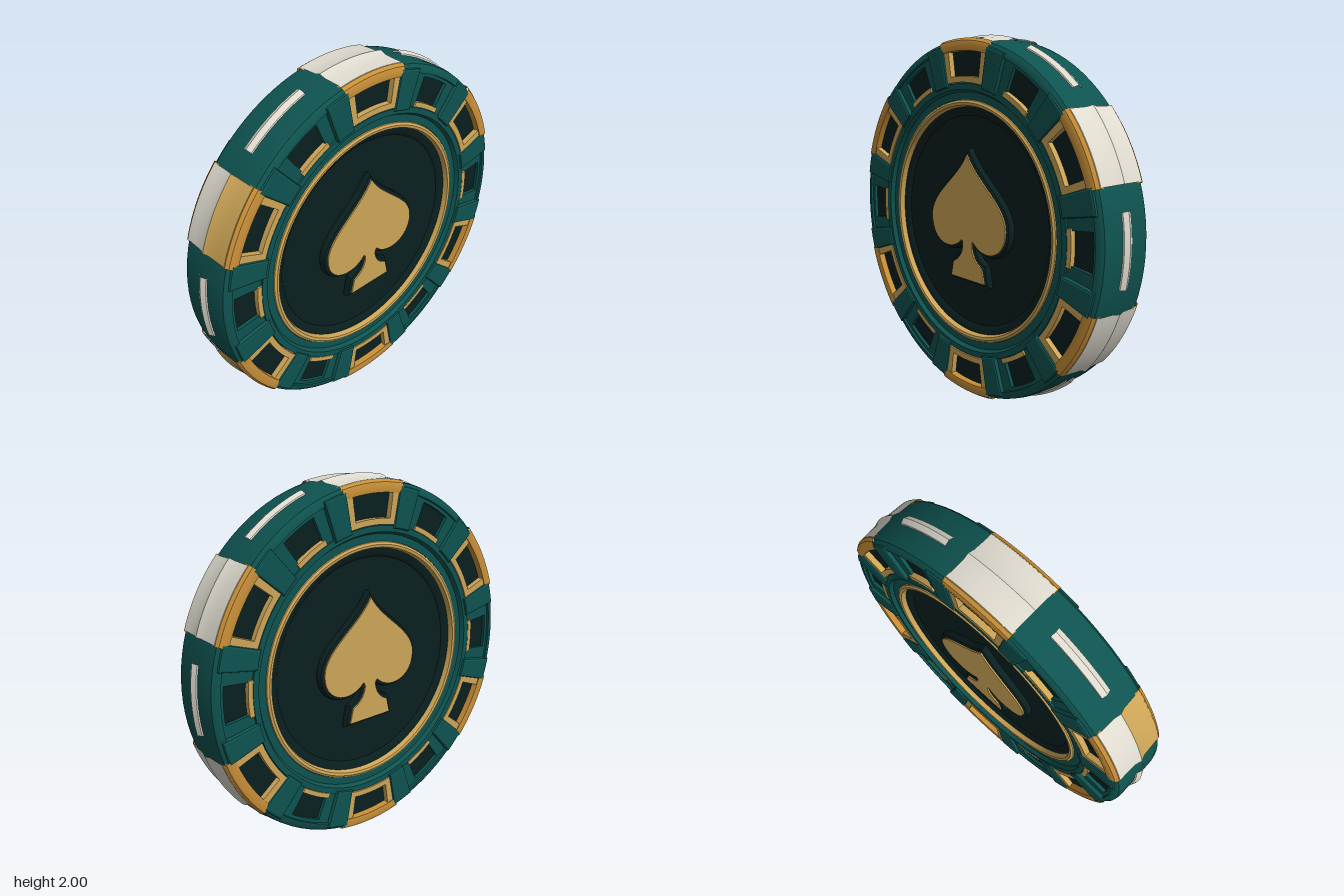
import * as THREE from 'three';
import { toCreasedNormals } from 'three/addons/utils/BufferGeometryUtils.js';

const RAD = Math.PI / 180;

function material(name, color, side = THREE.FrontSide) {
  const m = new THREE.MeshStandardMaterial({ color, side });
  m.name = name;
  return m;
}

const teal = material('teal', 0x0e5350);
const dark = material('dark green', 0x0a1f1f);
const gold = material('gold', 0xcda557);
const amber = material('amber gold', 0xc88f38, THREE.DoubleSide);
const ivory = material('ivory', 0xe0dcd0, THREE.DoubleSide);

function part(name, geometry, mat, angle = 0, z = 0) {
  const mesh = new THREE.Mesh(geometry, mat);
  mesh.name = name;
  mesh.rotation.z = angle * RAD;
  mesh.position.z = z;
  return mesh;
}

// Turns a profile of [radius, z] around the z axis, centred on angle 0 when partial
function turned(profile, half = 180, segments = 96) {
  const pts = profile.map(([r, z]) => new THREE.Vector2(r, z));
  const g = new THREE.LatheGeometry(pts, segments, (90 - half) * RAD, 2 * half * RAD);
  g.rotateX(Math.PI / 2);
  return toCreasedNormals(g, 35 * RAD);
}

// Outline of a ring sector centred on angle 0
function outline(target, r0, r1, half) {
  const a = half * RAD;
  target.absarc(0, 0, r1, -a, a, false);
  target.absarc(0, 0, r0, a, -a, true);
  target.closePath();
  return target;
}

// Raised ring sector, optionally with a window [r0, r1, half]
function sector(r0, r1, half, depth, hole, bevel = 0) {
  const shape = outline(new THREE.Shape(), r0, r1, half);
  if (hole) shape.holes.push(outline(new THREE.Path(), ...hole));
  return new THREE.ExtrudeGeometry(shape, {
    depth: depth - bevel, curveSegments: 10, bevelEnabled: bevel > 0,
    bevelThickness: bevel, bevelSize: bevel, bevelOffset: -bevel, bevelSegments: 2,
  });
}

function spadeShape() {
  const s = new THREE.Shape();
  s.moveTo(0, 0.375);
  s.bezierCurveTo(0.08, 0.23, 0.31, 0.14, 0.31, 0.0);
  s.bezierCurveTo(0.31, -0.16, 0.13, -0.19, 0.05, -0.1);
  s.bezierCurveTo(0.025, -0.1, 0.03, -0.2, 0.12, -0.235);
  s.lineTo(0.14, -0.32);
  s.lineTo(-0.14, -0.32);
  s.lineTo(-0.12, -0.235);
  s.bezierCurveTo(-0.03, -0.2, -0.025, -0.1, -0.05, -0.1);
  s.bezierCurveTo(-0.13, -0.19, -0.31, -0.16, -0.31, 0.0);
  s.bezierCurveTo(-0.31, 0.14, -0.08, 0.23, 0, 0.375);
  return s;
}

// Everything on one flat side of the chip
function createFace() {
  const face = new THREE.Group();
  face.name = 'face';

  // Sunken centre and its ring
  face.add(part('centreDish', turned([[0.63, 0.125], [0.595, 0.122], [0.58, 0.11], [0, 0.11]]), dark));
  face.add(part('centreRing', turned([[0.668, 0.12], [0.662, 0.148], [0.65, 0.155], [0.635, 0.152], [0.622, 0.11]]), gold));

  // Spade on a dark plinth
  const plinth = new THREE.ExtrudeGeometry(spadeShape(), {
    depth: 0.03, curveSegments: 16, bevelThickness: 0.02, bevelSize: 0.022, bevelSegments: 2,
  });
  face.add(part('spadePlinth', plinth, dark, 0, 0.098));
  const top = new THREE.ExtrudeGeometry(spadeShape(), { depth: 0.009, curveSegments: 16, bevelEnabled: false });
  face.add(part('spade', top, gold, 0, 0.147));

  // Shared geometry of the panels round the edge
  const divider = sector(0.735, 0.955, 4.2, 0.06, null, 0.012);
  const frame = sector(0.755, 0.93, 11.3, 0.04, [0.787, 0.918, 8.3]);
  const frameWindow = sector(0.78, 0.925, 8.8, 0.008);
  const strip = turned([[0.979, 0.12], [0.982, 0.15], [0.97, 0.168], [0.945, 0.176], [0.918, 0.172], [0.915, 0.13]], 12, 12);
  const panel = sector(0.75, 0.935, 11.2, 0.03, [0.765, 0.91, 6.4]);
  const panelWindow = sector(0.77, 0.915, 6.6, 0.008);
  const bar = sector(0.752, 0.778, 7.2, 0.04);

  for (let i = 0; i < 6; i++) {
    const a = 30 + i * 60;
    face.add(part('goldFrame', frame, gold, a, 0.127));
    face.add(part('frameWindow', frameWindow, dark, a, 0.128));
    face.add(part('edgeStrip', strip, amber, a));
    const b = i * 60;
    face.add(part('tealPanel', panel, teal, b, 0.125));
    face.add(part('panelWindow', panelWindow, dark, b, 0.128));
    face.add(part('panelBar', bar, gold, b, 0.125));
    face.add(part('divider', divider, teal, b + 15, 0.118));
    face.add(part('divider', divider, teal, b - 15, 0.118));
  }
  return face;
}

export function createModel() {
  const chip = new THREE.Group();
  chip.name = 'pokerChip';

  // Teal body, the same on both sides
  const half = [
    [0.978, 0.12], [0.972, 0.15], [0.955, 0.165], [0.93, 0.168], [0.925, 0.13],
    [0.755, 0.13], [0.75, 0.165], [0.718, 0.165], [0.705, 0.143], [0.665, 0.143], [0.66, 0.1],
  ];
  const back = half.map(([r, z]) => [r, -z]).reverse();
  chip.add(part('body', turned([...back, ...half]), teal));

  // Two faces
  const front = createFace();
  const rear = createFace();
  front.name = 'frontFace';
  rear.name = 'backFace';
  rear.rotation.y = Math.PI;
  chip.add(front, rear);

  // Ridged inserts and dashes round the rim
  const insertFront = turned([[1.0, 0], [0.988, 0.035], [0.985, 0.1], [0.983, 0.145], [0.965, 0.158]], 11.7, 12);
  const insertBack = turned([[0.965, -0.158], [0.983, -0.145], [0.985, -0.1], [0.988, -0.035], [1.0, 0]], 11.7, 12);
  const dash = turned([[0.965, -0.032], [0.985, -0.028], [0.998, 0], [0.985, 0.028], [0.965, 0.032]], 11, 12);
  for (let i = 0; i < 6; i++) {
    const a = 30 + i * 60;
    const gilded = a === 150 || a === 210;
    chip.add(part('rimInsertFront', insertFront, gilded ? gold : ivory, a));
    chip.add(part('rimInsertBack', insertBack, ivory, a));
    chip.add(part('rimDash', dash, ivory, i * 60));
  }

  chip.position.y = 1;
  const model = new THREE.Group();
  model.name = 'model';
  model.add(chip);
  return model;
}
